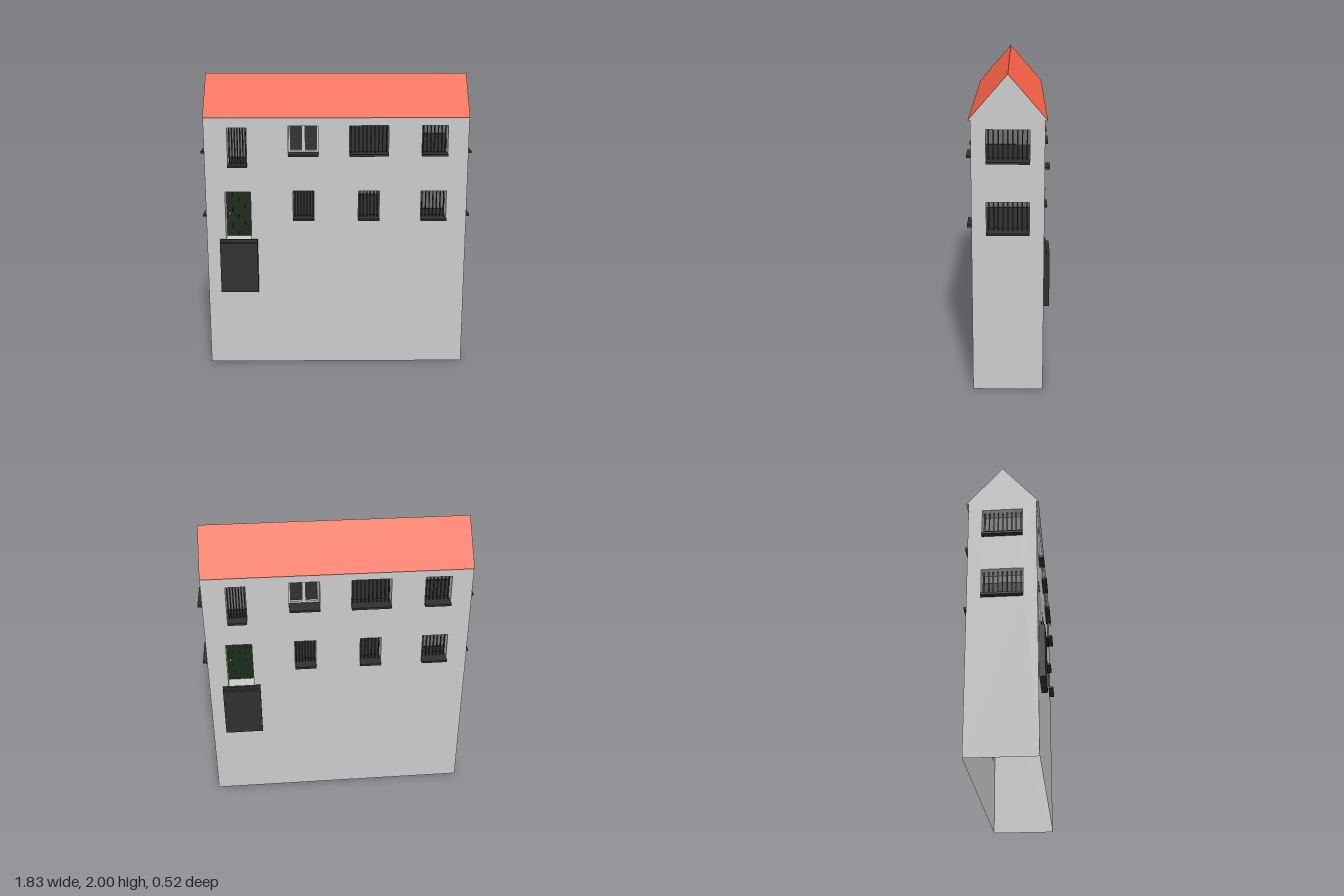
import * as THREE from 'three';

const std = (color, side = THREE.FrontSide) =>
  new THREE.MeshStandardMaterial({ color, side, flatShading: true });
const wallMat = std(0xcccccc, THREE.DoubleSide);
const roofMat = std(0xff6347, THREE.DoubleSide);
const darkMat = std(0x303030);
const backMat = std(0x707070);
const doorMat = std(0x1c2a1a);
const knobMat = std(0xd8b040);

const W = 0.88, D = 0.22, EAVE = 1.73, RIDGE = 2, OVER = 0.235;
const DEPTH = 0.09; // how far the openings are set into the wall

function box(parent, name, mat, x0, x1, y0, y1, z0, z1) {
  const mesh = new THREE.Mesh(new THREE.BoxGeometry(x1 - x0, y1 - y0, z1 - z0), mat);
  mesh.position.set((x0 + x1) / 2, (y0 + y1) / 2, (z0 + z1) / 2);
  mesh.name = name;
  parent.add(mesh);
  return mesh;
}

// Flat wall with rectangular holes, its outer face on z = 0
function wall(name, halfWidth, openings) {
  const group = new THREE.Group();
  group.name = name;
  const shape = new THREE.Shape([
    new THREE.Vector2(-halfWidth, 0), new THREE.Vector2(halfWidth, 0),
    new THREE.Vector2(halfWidth, EAVE), new THREE.Vector2(-halfWidth, EAVE)]);
  for (const { x0, x1, y0, y1 } of openings) {
    shape.holes.push(new THREE.Path([
      new THREE.Vector2(x0, y0), new THREE.Vector2(x0, y1),
      new THREE.Vector2(x1, y1), new THREE.Vector2(x1, y0)]));
  }
  const face = new THREE.Mesh(new THREE.ShapeGeometry(shape), wallMat);
  face.name = 'wallFace';
  group.add(face);
  for (const o of openings) group.add(opening(o));
  return group;
}

// Lined recess, filled as a barred window, casement or door
function opening({ kind, x0, x1, y0, y1, bars, panel }) {
  const g = new THREE.Group();
  g.name = kind;
  const t = 0.004;
  box(g, 'revealLeft', wallMat, x0 - t, x0, y0, y1, -DEPTH, -0.001);
  box(g, 'revealRight', wallMat, x1, x1 + t, y0, y1, -DEPTH, -0.001);
  box(g, 'revealTop', wallMat, x0, x1, y1, y1 + t, -DEPTH, -0.001);
  box(g, 'revealBottom', wallMat, x0, x1, y0 - t, y0, -DEPTH, -0.001);
  if (kind === 'door') door(g, x0, x1, y0, y1);
  else {
    box(g, 'sill', darkMat, x0, x1, y0 - 0.006, y0 + 0.008, -DEPTH, 0.036);
    if (kind === 'casement') casement(g, x0, x1, y0 + 0.008, y1);
    else barredWindow(g, x0, x1, y0, y1, bars, panel);
  }
  return g;
}

// Upright bars in front of a dark lower panel
function barredWindow(g, x0, x1, y0, y1, bars, panel) {
  box(g, 'windowBack', backMat, x0, x1, y0, y1, -DEPTH - 0.006, -DEPTH);
  box(g, 'lowerPanel', darkMat, x0, x1, y0, panel, -DEPTH, -DEPTH + 0.008);
  for (let i = 0; i < bars; i++) {
    const x = x0 + (x1 - x0) * (i + 0.5) / bars;
    box(g, 'bar', darkMat, x - 0.004, x + 0.004, y0, y1, -0.044, -0.036);
  }
}

// Two pale framed sashes
function casement(g, x0, x1, y0, y1) {
  const zb = -DEPTH, zf = -DEPTH + 0.02, f = 0.012, mid = (x0 + x1) / 2;
  box(g, 'paneBack', darkMat, x0, x1, y0, y1, zb - 0.006, zb);
  for (const [a, b] of [[x0, mid], [mid, x1]]) {
    box(g, 'sashStile', wallMat, a, a + f, y0, y1, zb, zf);
    box(g, 'sashStile', wallMat, b - f, b, y0, y1, zb, zf);
    box(g, 'sashRail', wallMat, a + f, b - f, y0, y0 + f, zb, zf);
    box(g, 'sashRail', wallMat, a + f, b - f, y1 - f, y1, zb, zf);
  }
}

// Plank door with knob, and the landing block below it
function door(g, x0, x1, y0, y1) {
  const planks = 4, w = (x1 - x0) / planks;
  box(g, 'doorLeaf', doorMat, x0, x1, y0, y1, -DEPTH - 0.01, -DEPTH);
  for (let i = 0; i < planks; i++) {
    box(g, 'plank', doorMat, x0 + i * w + 0.003, x0 + (i + 1) * w - 0.003, y0, y1, -DEPTH, -DEPTH + 0.008);
  }
  const knob = new THREE.Mesh(new THREE.SphereGeometry(0.008, 12, 8), knobMat);
  knob.name = 'doorKnob';
  knob.position.set(x0 + 0.022, 1.06, -DEPTH + 0.014);
  g.add(knob);
  box(g, 'threshold', darkMat, -0.79, -0.535, 0.53, 0.9, 0, 0.018);
  box(g, 'landingBlock', darkMat, -0.79, -0.535, 0.53, 0.88, 0.018, 0.038);
}

// Gable roof: two red slopes, grey gable ends and eave undersides
function roof() {
  const g = new THREE.Group();
  g.name = 'roof';
  const rise = RIDGE - EAVE;
  for (const s of [1, -1]) {
    const slope = new THREE.Mesh(new THREE.PlaneGeometry(2 * W, Math.hypot(rise, OVER)), roofMat);
    slope.name = 'roofSlope';
    slope.rotation.x = -Math.atan2(OVER, rise);
    slope.position.set(0, EAVE + rise / 2, OVER / 2);
    const half = new THREE.Group();
    half.add(slope);

    const tri = new THREE.Shape([new THREE.Vector2(-OVER, EAVE),
      new THREE.Vector2(OVER, EAVE), new THREE.Vector2(0, RIDGE)]);
    const gable = new THREE.Mesh(new THREE.ShapeGeometry(tri), wallMat);
    gable.name = 'gable';
    gable.rotation.y = Math.PI / 2;
    gable.position.x = W;
    half.add(gable);

    const eave = new THREE.Mesh(new THREE.PlaneGeometry(2 * W, OVER - D), wallMat);
    eave.name = 'eave';
    eave.rotation.x = Math.PI / 2;
    eave.position.set(0, EAVE, (OVER + D) / 2);
    half.add(eave);

    half.rotation.y = s > 0 ? 0 : Math.PI;
    g.add(half);
  }
  return g;
}

export function createModel() {
  const model = new THREE.Group();
  model.name = 'house';
  const barred = (x0, x1, y0, y1, bars, panel) =>
    ({ kind: 'barredWindow', x0, x1, y0, y1, bars, panel });

  const longSide = [
    barred(-0.725, -0.597, 1.405, 1.66, 7, 1.45),
    { kind: 'casement', x0: -0.32, x1: -0.12, y0: 1.48, y1: 1.675 },
    barred(0.087, 0.348, 1.48, 1.675, 10, 1.67),
    barred(0.57, 0.742, 1.48, 1.675, 7, 1.61),
    { kind: 'door', x0: -0.75, x1: -0.577, y0: 0.9, y1: 1.228 },
    barred(-0.292, -0.15, 1.04, 1.233, 7, 1.23),
    barred(0.148, 0.29, 1.04, 1.233, 6, 1.19),
    barred(0.57, 0.742, 1.04, 1.233, 7, 1.09)];
  const endSide = [
    barred(-0.13, 0.13, 1.48, 1.675, 9, 1.57),
    barred(-0.13, 0.13, 1.04, 1.233, 9, 1.18)];

  // The house repeats when turned half way round
  for (const turn of [0, Math.PI]) {
    const half = new THREE.Group();
    half.name = turn ? 'backHalf' : 'frontHalf';
    const long = wall('longWall', W, longSide);
    long.position.z = D;
    const end = wall('endWall', D, endSide);
    end.rotation.y = Math.PI / 2;
    end.position.x = W;
    half.add(long, end);
    half.rotation.y = turn;
    model.add(half);
  }
  model.add(roof());
  return model;
}
